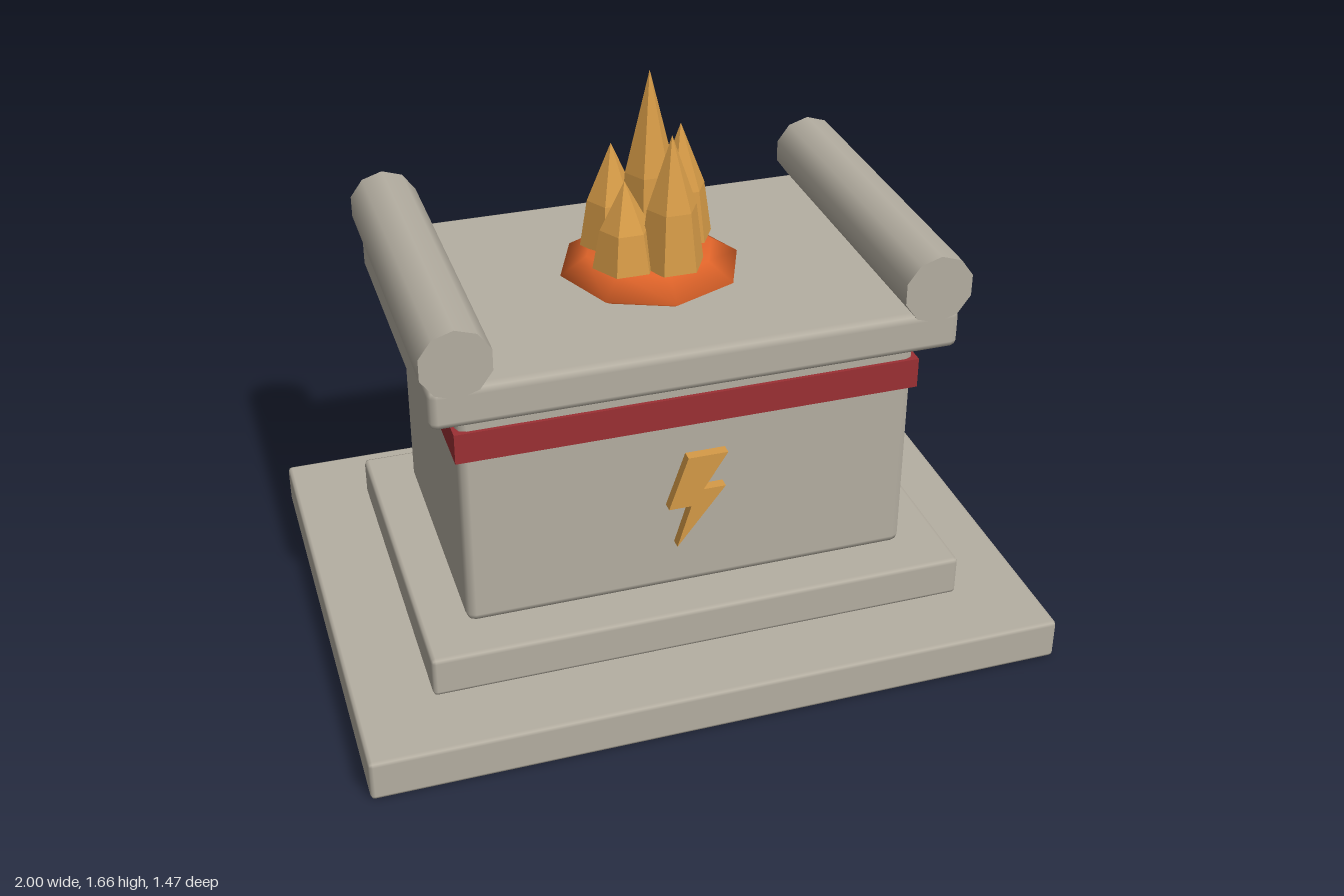
import * as THREE from 'three';
import { RoundedBoxGeometry } from 'three/addons/geometries/RoundedBoxGeometry.js';

export function createModel() {
  const group = new THREE.Group();
  group.name = 'altar';

  const mat = (name, color, flatShading = false) => {
    const m = new THREE.MeshStandardMaterial({ color, flatShading });
    m.name = name;
    return m;
  };
  const stone = mat('stone', 0xb5afa2);
  const red = mat('redBand', 0x9c3034);
  const ember = mat('emberOrange', 0xe2652a);
  const gold = mat('gold', 0xd69b47, true);

  const add = (name, geometry, material, x = 0, y = 0, z = 0) => {
    const mesh = new THREE.Mesh(geometry, material);
    mesh.name = name;
    mesh.position.set(x, y, z);
    group.add(mesh);
    return mesh;
  };

  // Bevelled stone blocks, bottom to top: name, half width, half depth, bottom, top, bevel
  const blocks = [
    ['lowerStep', 1.0, 0.735, 0, 0.123, 0.012],
    ['upperStep', 0.78, 0.52, 0.123, 0.245, 0.013],
    ['body', 0.65, 0.39, 0.245, 0.943, 0.026],
    ['topSlab', 0.735, 0.48, 0.943, 1.063, 0.023],
  ];
  for (const [name, hw, hd, y0, y1, bevel] of blocks) {
    add(name, new RoundedBoxGeometry(hw * 2, y1 - y0, hd * 2, 1, bevel), stone, 0, (y0 + y1) / 2, 0);
  }

  // Painted band around the body
  add('band', new THREE.BoxGeometry(1.32, 0.09, 0.8), red, 0, 0.83, 0);

  // Rolled ends on the slab
  for (const side of [-1, 1]) {
    const roll = add(side > 0 ? 'leftRoll' : 'rightRoll',
      new THREE.CylinderGeometry(0.1, 0.1, 0.975, 10), stone, side * 0.66, 1.138, 0);
    roll.rotation.x = Math.PI / 2;
  }

  // Lightning bolt on the front
  const bolt = new THREE.Shape([
    [-0.02, 0.69], [0.095, 0.69], [0.025, 0.58], [0.09, 0.58],
    [-0.05, 0.4], [-0.01, 0.53], [-0.075, 0.53],
  ].map(([x, y]) => new THREE.Vector2(x, y)));
  add('bolt', new THREE.ExtrudeGeometry(bolt, { depth: 0.03, bevelEnabled: false }), gold, 0, 0, 0.39);

  // Flattened bed of embers
  add('emberBed', new THREE.SphereGeometry(0.26, 8, 4), ember, 0, 1.08, 0).scale.y = 0.27;

  // Six-sided flames: x, z, tip height
  const flames = [
    [0, 0, 1.66], [0.03, 0.105, 1.51], [0.107, -0.055, 1.47],
    [-0.09, -0.07, 1.43], [-0.095, 0.075, 1.38],
  ];
  const base = 1.13;
  for (const [x, z, tip] of flames) {
    const h = tip - base;
    const profile = [[0, 0], [0.093, 0], [0.071, 0.45 * h], [0, h]].map(([r, y]) => new THREE.Vector2(r, y));
    add('flame', new THREE.LatheGeometry(profile, 6, Math.PI / 2), gold, x, base, z);
  }

  return group;
}
